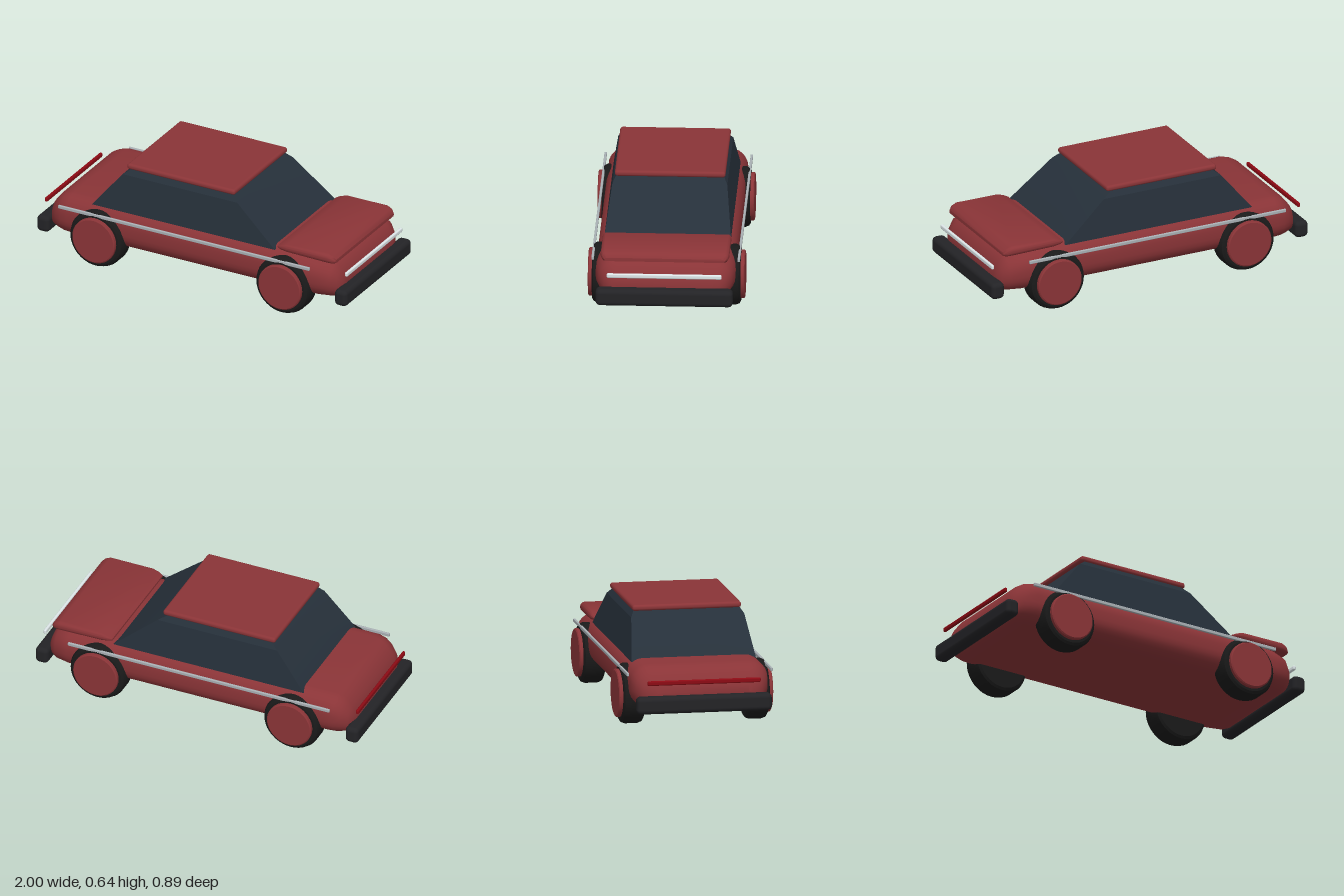
import * as THREE from 'three';
import { toCreasedNormals } from 'three/addons/utils/BufferGeometryUtils.js';
import { RoundedBoxGeometry } from 'three/addons/geometries/RoundedBoxGeometry.js';

const paint = new THREE.MeshStandardMaterial({ color: 0x8a3437 });
const glass = new THREE.MeshStandardMaterial({ color: 0x26303a });
const rubber = new THREE.MeshStandardMaterial({ color: 0x1a1a1a });
const bumperBlack = new THREE.MeshStandardMaterial({ color: 0x232326 });
const chrome = new THREE.MeshStandardMaterial({ color: 0xa9b0b4 });
const lampWhite = new THREE.MeshStandardMaterial({ color: 0xdde6e8 });
const lampRed = new THREE.MeshStandardMaterial({ color: 0x8c0a14 });

// Joins rings of points (counterclockwise about the loft direction) and caps both ends
function loft(rings, crease) {
  const n = rings[0].length, last = (rings.length - 1) * n, index = [];
  for (let i = 0; i < rings.length - 1; i++) {
    for (let j = 0; j < n; j++) {
      const k = (j + 1) % n;
      const a = i * n + j, b = i * n + k, c = b + n, d = a + n;
      index.push(a, b, d, b, c, d);
    }
  }
  for (let j = 1; j < n - 1; j++) {
    index.push(0, j + 1, j, last, last + j, last + j + 1);
  }
  const geo = new THREE.BufferGeometry();
  geo.setAttribute('position', new THREE.Float32BufferAttribute(rings.flat(2), 3));
  geo.setIndex(index);
  return toCreasedNormals(geo, crease);
}

// Rounded rectangle across the car at a given x
function crossSection([x, halfWidth, bottom, top], radius) {
  const r = Math.min(radius, (top - bottom) * 0.45), steps = 6, ring = [];
  const corners = [[top - r, halfWidth - r], [bottom + r, halfWidth - r],
    [bottom + r, r - halfWidth], [top - r, r - halfWidth]];
  corners.forEach(([y, z], q) => {
    for (let s = 0; s <= steps; s++) {
      const t = (q + s / steps) * Math.PI / 2;
      ring.push([x, y + r * Math.cos(t), z + r * Math.sin(t)]);
    }
  });
  return ring;
}

function createModel() {
  const car = new THREE.Group();
  car.name = 'car';
  const add = (name, geo, mat, x = 0, y = 0, z = 0) => {
    const mesh = new THREE.Mesh(geo, mat);
    mesh.name = name;
    mesh.position.set(x, y, z);
    car.add(mesh);
    return mesh;
  };
  const slab = (name, mat, w, h, d, r, x, y, z) =>
    add(name, new RoundedBoxGeometry(w, h, d, 3, r), mat, x, y, z);

  // Lower body: x, half width, bottom, top
  const body = [
    [-0.945, 0.28, 0.185, 0.23], [-0.935, 0.315, 0.16, 0.265], [-0.92, 0.345, 0.145, 0.3],
    [-0.88, 0.375, 0.132, 0.35], [-0.845, 0.389, 0.13, 0.368], [-0.8, 0.395, 0.13, 0.378],
    [0.45, 0.395, 0.13, 0.378], [0.6, 0.395, 0.13, 0.368], [0.8, 0.395, 0.13, 0.362],
    [0.88, 0.375, 0.132, 0.343], [0.915, 0.345, 0.145, 0.3], [0.933, 0.315, 0.16, 0.255],
    [0.94, 0.28, 0.185, 0.22],
  ];
  add('body', loft(body.map(s => crossSection(s, 0.1)), 0.7), paint);

  // Raised hood
  const hood = [
    [0.535, 0.345, 0.373, 0.385], [0.56, 0.358, 0.368, 0.397], [0.6, 0.364, 0.362, 0.41],
    [0.86, 0.364, 0.356, 0.413], [0.89, 0.357, 0.356, 0.4], [0.908, 0.34, 0.36, 0.38],
  ];
  add('hood', loft(hood.map(s => crossSection(s, 0.03)), 0.7), paint);

  // Glazed cabin: y, rear x, front x, half width
  const cabin = [[0.36, -0.655, 0.525, 0.358], [0.58, -0.475, 0.265, 0.325], [0.615, -0.43, 0.21, 0.303]];
  add('cabin', loft(cabin.map(([y, rear, front, w]) =>
    [[rear, y, w], [front, y, w], [front, y, -w], [rear, y, -w]]), 0.3), glass);

  slab('roof', paint, 0.695, 0.034, 0.626, 0.015, -0.108, 0.628, 0);

  // Bumpers and light bars
  slab('frontBumper', bumperBlack, 0.08, 0.098, 0.776, 0.026, 0.96, 0.169, 0);
  slab('rearBumper', bumperBlack, 0.08, 0.098, 0.776, 0.026, -0.96, 0.169, 0);
  slab('frontLights', lampWhite, 0.018, 0.027, 0.65, 0.008, 0.965, 0.295, 0);
  slab('rearLights', lampRed, 0.018, 0.027, 0.65, 0.008, -0.97, 0.295, 0);

  // Wheels and side trim
  const lathe = pts => toCreasedNormals(new THREE.LatheGeometry(
    pts.map(p => new THREE.Vector2(...p)), 40).rotateX(Math.PI / 2), 0.5);
  const tyre = lathe([[0, -0.063], [0.15, -0.063], [0.164, -0.055], [0.172, -0.035],
    [0.172, 0.035], [0.164, 0.055], [0.15, 0.063], [0, 0.063]]);
  const hub = lathe([[0, -0.012], [0.137, -0.012], [0.137, 0.007], [0.13, 0.012], [0, 0.012]]);
  for (const side of [1, -1]) {
    const label = side > 0 ? 'Near' : 'Far';
    for (const x of [0.6, -0.6]) {
      const end = x > 0 ? 'front' : 'rear';
      add(end + label + 'Tyre', tyre, rubber, x, 0.173, side * 0.357);
      add(end + label + 'Hub', hub, paint, x, 0.175, side * 0.431).rotation.y = side > 0 ? 0 : Math.PI;
    }
    slab('side' + label + 'Trim', chrome, 1.62, 0.02, 0.014, 0.004, -0.03, 0.325, side * 0.413);
  }
  return car;
}

export { createModel };
